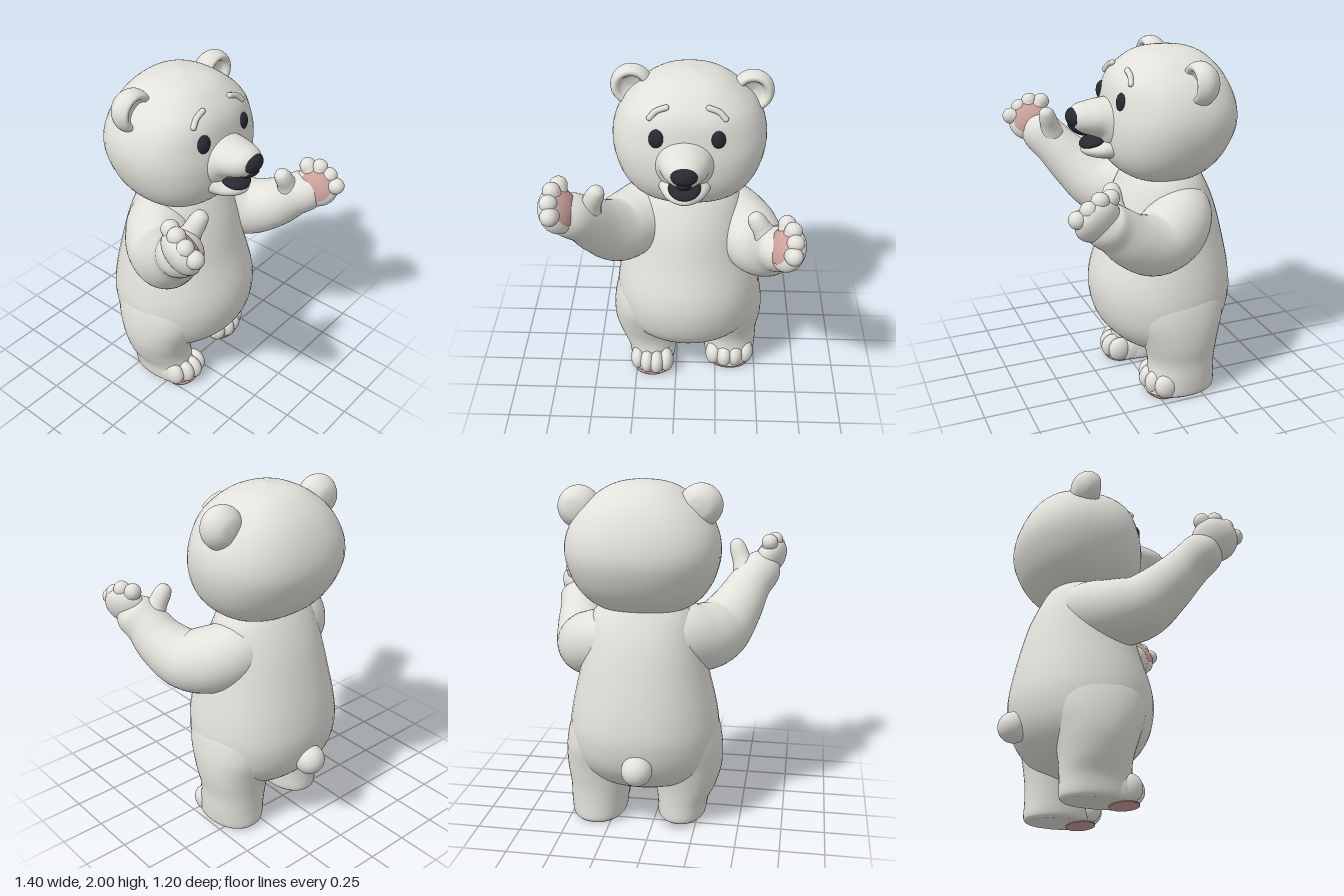
import * as THREE from 'three';

const mat = (name, color) => Object.assign(new THREE.MeshStandardMaterial({ color }), { name });
const V = (x, y, z) => new THREE.Vector3(x, y, z);

// Smooth skin through sections [x, y, z, rx, rz]; rings stay level unless follow is set.
// front and back give the squareness of each half ring (2 = round).
function loft(sections, { follow = false, front = 2, back = 2, steps = 44, sides = 44 } = {}) {
  const path = new THREE.CatmullRomCurve3(sections.map(s => V(s[0], s[1], s[2])), false, 'catmullrom');
  const radii = new THREE.CatmullRomCurve3(sections.map(s => V(s[3], s[4] ?? s[3], 0)), false, 'catmullrom');
  const ref = follow ? V(0, 1, 0) : V(0, 0, 1);
  const pos = [], idx = [];
  for (let i = -1; i <= steps + 1; i++) {
    const t = THREE.MathUtils.clamp(i / steps, 0, 1);
    const c = path.getPoint(t), r = radii.getPoint(t);
    if (i < 0 || i > steps) r.set(0, 0, 0); // closed ends
    const dir = follow ? path.getTangent(t) : V(0, 1, 0);
    const side = dir.clone().cross(ref).normalize();
    const fwd = side.clone().cross(dir);
    for (let j = 0; j < sides; j++) {
      const a = j / sides * Math.PI * 2, u = Math.cos(a), v = Math.sin(a);
      const power = v < 0 ? back : front;
      const k = (Math.abs(u) ** power + Math.abs(v) ** power) ** (-1 / power);
      const p = c.clone().addScaledVector(side, u * k * Math.max(r.x, 0))
        .addScaledVector(fwd, v * k * Math.max(r.y, 0));
      pos.push(p.x, p.y, p.z);
    }
  }
  for (let i = 0; i < steps + 2; i++) for (let j = 0; j < sides; j++) {
    const a = i * sides + j, b = i * sides + (j + 1) % sides;
    idx.push(a, a + sides, b, b, a + sides, b + sides);
  }
  const g = new THREE.BufferGeometry();
  g.setAttribute('position', new THREE.Float32BufferAttribute(pos, 3));
  g.setIndex(idx);
  g.computeVertexNormals();
  return g;
}

export function createModel() {
  const fur = mat('fur', 0xe2e1db), dark = mat('dark', 0x292a31), pink = mat('padPink', 0xcda29c);
  const bear = new THREE.Group();
  bear.name = 'bear';

  const add = (name, geo, material = fur, parent = bear) => {
    const m = new THREE.Mesh(geo, material);
    m.name = name;
    parent.add(m);
    return m;
  };
  const group = name => {
    const g = new THREE.Group();
    g.name = name;
    bear.add(g);
    return g;
  };
  const blob = (name, p, r, material = fur, parent = bear) => {
    const m = add(name, new THREE.SphereGeometry(1, 32, 24), material, parent);
    m.position.set(...p);
    m.scale.set(...r);
    return m;
  };
  // Rounded finger running from a to b
  const finger = (name, a, b, r, parent) => {
    const d = b.clone().sub(a);
    const m = add(name, new THREE.CapsuleGeometry(r, d.length(), 8, 20), fur, parent);
    m.position.copy(a).addScaledVector(d, 0.5);
    m.quaternion.setFromUnitVectors(V(0, 1, 0), d.normalize());
  };

  // Torso and tail
  add('body', loft([
    [0.07, 0.21, -0.13, 0.14, 0.13], [0.07, 0.28, -0.13, 0.32, 0.26], [0.07, 0.4, -0.13, 0.41, 0.365],
    [0.07, 0.55, -0.13, 0.435, 0.41], [0.07, 0.7, -0.13, 0.42, 0.405], [0.07, 0.9, -0.14, 0.375, 0.355],
    [0.07, 1.1, -0.14, 0.335, 0.3], [0.07, 1.25, -0.14, 0.29, 0.235], [0.07, 1.36, -0.14, 0.2, 0.17],
  ], { back: 2.15 }));
  blob('tail', [0.05, 0.44, -0.525], [0.087, 0.087, 0.087]);

  // Legs, feet, toes and sole pads; the right foot stands a little ahead
  const leg = (name, s, footX, hipX, spread, legZ, toeZ) => {
    const g = group(name);
    // height, pull toward the foot, inward shift, depth centre, radii
    const levels = [
      [0.005, 1, 0, -0.145, 0.125, 0.195], [0.03, 1, 0, -0.145, 0.142, 0.212], [0.12, 0.8, 0, -0.155, 0.152, 0.2],
      [0.22, 0.3, 0, -0.16, 0.18, 0.2], [0.35, 0, 0, -0.15, 0.203, 0.23], [0.5, 0, 0.012, -0.14, 0.21, 0.275],
      [0.65, 0, 0.045, -0.135, 0.2, 0.27], [0.8, 0, 0.1, -0.135, 0.13, 0.18],
    ];
    add('leg', loft(levels.map(([y, w, shift, z, rx, rz]) =>
      [hipX + (footX - hipX) * w - s * shift, y, z + legZ * (1 - y), rx * (y < 0.2 ? spread : 1), rz]),
    { back: 2.2 }), fur, g);
    add('foot', loft([[0.005, -0.03, 0.118, 0.14], [0.03, -0.025, 0.132, 0.15], [0.09, -0.03, 0.134, 0.15],
      [0.14, -0.04, 0.115, 0.125], [0.17, -0.06, 0.07, 0.08]]
      .map(([y, z, rx, rz]) => [footX, y, z + toeZ, rx * spread, rz]), { steps: 24 }), fur, g);
    [0.065, 0.09, 0.08, 0.045].forEach((z, i) =>
      blob('toe', [footX + s * (i - 1.5) * 0.06 * spread, 0.08, z + toeZ], [0.046 * spread, 0.076, 0.07], fur, g));
    const pad = add('solePad', new THREE.CylinderGeometry(1, 1, 0.006, 32), pink, g);
    pad.scale.set(0.105 * spread, 1, 0.08);
    pad.position.set(footX, 0.003, 0.045 + toeZ);
  };
  leg('rightLeg', -1, -0.152, -0.185, 1, 0.045, 0);
  leg('leftLeg', 1, 0.34, 0.325, 1.12, -0.01, -0.08);

  // Arms with palm, palm pad, four fingers and a tapering thumb
  const arm = (name, s, dy, sections, thumb) => {
    const g = group(name);
    add('arm', loft(sections, { follow: true }), fur, g);
    const at = (x, y, z) => V(s * x, y + dy, z);
    const palm = at(0.604, 1.462, 0.432);
    const normal = V(-0.83 * s, 0.43, 0.34).normalize();
    const along = V(0.06 * s, 0.1, 0.02);
    along.addScaledVector(normal, -along.dot(normal)).normalize();
    const basis = new THREE.Matrix4().makeBasis(normal.clone().cross(along), normal, along);
    const place = (m, k) => {
      m.position.copy(palm);
      m.quaternion.setFromRotationMatrix(basis);
      m.scale.set(0.13 * k, 0.08 * k, 0.125 * k);
    };
    place(add('palm', new THREE.SphereGeometry(1, 32, 24), fur, g), 1);
    place(add('palmPad', new THREE.SphereGeometry(1, 32, 12, 0, Math.PI * 2, 0, 0.78), pink, g), 1.04);
    for (const [x, y, z] of [[0.6, 1.57, 0.36], [0.628, 1.572, 0.425], [0.638, 1.535, 0.487], [0.63, 1.49, 0.545]]) {
      const tip = at(x, y, z);
      finger('finger', tip.clone().lerp(palm, 0.6), tip, 0.048, g);
    }
    const root = V(...sections[5]), tip = V(...thumb);
    add('thumb', loft([[0, 0.09], [0.35, 0.078], [0.7, 0.056], [1, 0.05], [1.2, 0.037], [1.28, 0.012]].map(([t, r]) =>
      [...root.clone().lerp(tip, t).toArray(), r]), { follow: true, steps: 24, sides: 24 }), fur, g);
  };
  arm('rightArm', -1, 0, [
    [0.04, 1.1, -0.2, 0.12], [-0.11, 1.12, -0.16, 0.18], [-0.24, 1.085, -0.05, 0.195], [-0.335, 1.1, 0.08, 0.185],
    [-0.42, 1.2, 0.2, 0.155], [-0.49, 1.32, 0.31, 0.128], [-0.56, 1.41, 0.39, 0.118], [-0.61, 1.48, 0.44, 0.06],
  ], [-0.412, 1.52, 0.378]);
  arm('leftArm', 1, -0.22, [
    [0.12, 1.09, -0.2, 0.12], [0.27, 1.09, -0.18, 0.175], [0.39, 1.03, -0.08, 0.19], [0.465, 1.0, 0.06, 0.175],
    [0.52, 1.06, 0.2, 0.15], [0.55, 1.15, 0.31, 0.128], [0.58, 1.21, 0.39, 0.118], [0.61, 1.27, 0.44, 0.06],
  ], [0.446, 1.318, 0.295]);

  // Head
  const head = group('head');
  add('skull', loft([
    [0.07, 1.27, -0.13, 0.12, 0.1], [0.07, 1.288, -0.13, 0.24, 0.2], [0.07, 1.35, -0.135, 0.33, 0.285],
    [0.07, 1.45, -0.15, 0.395, 0.345], [0.07, 1.58, -0.17, 0.43, 0.374], [0.07, 1.7, -0.175, 0.42, 0.36],
    [0.07, 1.82, -0.165, 0.36, 0.32], [0.07, 1.91, -0.165, 0.265, 0.25], [0.07, 1.97, -0.165, 0.16, 0.16],
    [0.07, 1.998, -0.16, 0.015, 0.015],
  ], { front: 2.4, back: 2.25, steps: 50, sides: 48 }), fur, head);

  // Muzzle, nose and open mouth
  const cx = 0.052;
  add('muzzle', loft([
    [cx, 1.57, 0.0, 0.23, 0.2], [cx, 1.585, 0.12, 0.185, 0.168], [cx, 1.615, 0.21, 0.146, 0.116],
    [cx, 1.625, 0.29, 0.122, 0.092], [cx, 1.63, 0.35, 0.09, 0.073], [cx, 1.63, 0.384, 0.048, 0.04],
    [cx, 1.63, 0.393, 0.01, 0.01],
  ], { follow: true }), fur, head);
  add('jaw', loft([
    [cx, 1.5, 0.02, 0.19, 0.14], [cx, 1.475, 0.13, 0.16, 0.097], [cx, 1.452, 0.22, 0.125, 0.062],
    [cx, 1.448, 0.28, 0.09, 0.042], [cx, 1.45, 0.315, 0.045, 0.024], [cx, 1.452, 0.325, 0.01, 0.008],
  ], { follow: true }), fur, head);
  blob('mouth', [cx, 1.494, 0.25], [0.088, 0.034, 0.088], dark, head).rotation.x = 0.3;
  blob('nose', [cx, 1.634, 0.362], [0.072, 0.054, 0.047], dark, head);
  blob('philtrum', [cx, 1.564, 0.345], [0.042, 0.064, 0.024], dark, head).rotation.x = 1;

  // Ears: cupped dishes opening forward
  const earProfile = new THREE.SplineCurve([[0, -0.08], [0.065, -0.068], [0.11, -0.02], [0.118, 0.025], [0.1, 0.068],
    [0.075, 0.066], [0.055, 0.035], [0, 0.02]].map(p => new THREE.Vector2(...p))).getPoints(32);
  earProfile.forEach(p => { p.x = Math.max(p.x, 0); });
  for (const [name, x, y] of [['rightEar', -0.253, 1.87], ['leftEar', 0.415, 1.845]]) {
    const ear = add(name, new THREE.LatheGeometry(earProfile, 40), fur, head);
    ear.rotation.x = Math.PI / 2;
    ear.position.set(x, y, -0.23);
  }

  // Eyes and brows
  for (const s of [-1, 1]) {
    const fx = 0.062;
    blob(s < 0 ? 'rightEye' : 'leftEye', [fx + s * 0.16, 1.73, 0.146], [0.045, 0.056, 0.034], dark, head);
    const line = new THREE.CatmullRomCurve3([V(fx + s * 0.2, 1.838, 0.114), V(fx + s * 0.165, 1.872, 0.104),
      V(fx + s * 0.112, 1.892, 0.1)]);
    add(s < 0 ? 'rightBrow' : 'leftBrow', new THREE.TubeGeometry(line, 16, 0.016, 10), fur, head);
    for (const t of [0, 1]) blob('browEnd', line.getPoint(t).toArray(), [0.016, 0.016, 0.016], fur, head);
  }
  return bear;
}
